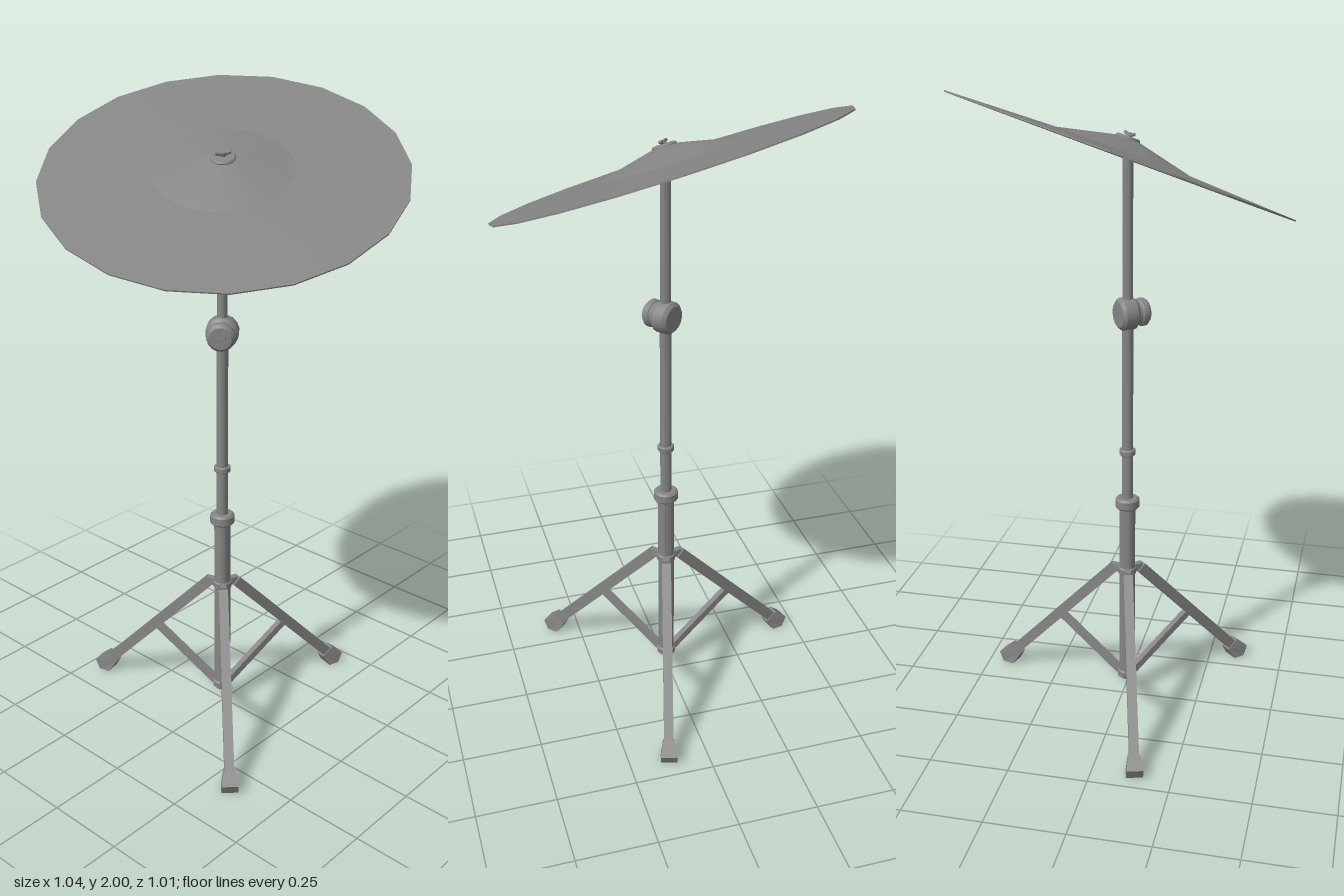
import * as THREE from 'three';
import { toCreasedNormals } from 'three/addons/utils/BufferGeometryUtils.js';

const metal = new THREE.MeshStandardMaterial({ color: 0x858585 });
const UP = new THREE.Vector3(0, 1, 0);
const V = (x, y, z = 0) => new THREE.Vector3(x, y, z);

function add(parent, name, geometry) {
  const mesh = new THREE.Mesh(geometry, metal);
  mesh.name = name;
  parent.add(mesh);
  return mesh;
}

// Turned part around y from [radius, height] points, bottom to top
function turned(parent, name, profile, sides = 16, phase = 0, crease = 0.7) {
  const points = profile.map(([r, y]) => new THREE.Vector2(r, y));
  return add(parent, name, toCreasedNormals(new THREE.LatheGeometry(points, sides, phase), crease));
}

const tube = (parent, name, r, y0, y1, sides = 16) =>
  turned(parent, name, [[0, y0], [r, y0], [r, y1], [0, y1]], sides);

const collar = (parent, name, r, y0, y1, b = 0.006) =>
  turned(parent, name, [[0, y0], [r - b, y0], [r, y0 + b], [r, y1 - b], [r - b, y1], [0, y1]]);

// Rectangular bar between two points
function bar(parent, name, a, b, width, depth) {
  const dir = b.clone().sub(a);
  const mesh = add(parent, name, new THREE.BoxGeometry(width, dir.length(), depth));
  mesh.position.copy(a).add(b).multiplyScalar(0.5);
  mesh.quaternion.setFromUnitVectors(UP, dir.normalize());
}

// Butterfly nut: hub with two slanted wings
function wingNut(parent, y, size) {
  const nut = new THREE.Group();
  nut.name = 'wingNut';
  tube(nut, 'nutHub', size * 0.5, 0, size * 0.8, 10);
  for (const s of [-1, 1]) {
    bar(nut, 'nutWing', V(s * size * 0.2, size * 0.3), V(s * size * 1.3, size * 0.7), size * 0.4, size * 0.5);
  }
  nut.position.y = y;
  nut.rotation.y = 0.9;
  parent.add(nut);
}

// Flat-bottomed rubber foot, narrowing towards the leg
function footGeometry() {
  const outline = [[0.412, 0.042], [0.436, 0.003], [0.474, 0.003], [0.489, 0.037], [0.45, 0.07]];
  const shape = new THREE.Shape(outline.map(([x, y]) => new THREE.Vector2(x, y)));
  const geometry = new THREE.ExtrudeGeometry(shape, { depth: 0.052, bevelEnabled: false });
  geometry.translate(0, 0, -0.026);
  const p = geometry.attributes.position;
  for (let i = 0; i < p.count; i++) {
    if (p.getY(i) > 0.04) p.setZ(i, p.getZ(i) * 0.7);
  }
  geometry.computeVertexNormals();
  return geometry;
}

// One folding leg lying in the local xy plane, pointing along +x
function makeLeg(angle) {
  const leg = new THREE.Group();
  leg.name = 'leg';
  bar(leg, 'legBar', V(0.048, 0.464), V(0.447, 0.038), 0.034, 0.03);
  bar(leg, 'hingeLug', V(0.015, 0.466), V(0.054, 0.466), 0.024, 0.02);
  bar(leg, 'brace', V(0.026, 0.085), V(0.25, 0.243), 0.023, 0.02);
  add(leg, 'foot', footGeometry());
  leg.rotation.y = -angle;
  return leg;
}

export function createModel() {
  const model = new THREE.Group();
  model.name = 'cymbalStand';

  const stand = new THREE.Group();
  stand.name = 'stand';
  stand.position.set(0.006, 0, 0.014);
  model.add(stand);

  // Telescopic pole and its collars
  tube(stand, 'lowerTube', 0.026, 0.075, 0.7);
  tube(stand, 'middleTube', 0.018, 0.69, 1.33);
  tube(stand, 'upperRod', 0.016, 1.33, 1.85);
  collar(stand, 'bottomCollar', 0.031, 0.068, 0.098);
  collar(stand, 'hingeCollar', 0.03, 0.452, 0.478, 0.004);
  collar(stand, 'heightClamp', 0.039, 0.686, 0.722);
  collar(stand, 'memoryCollar', 0.026, 0.868, 0.888, 0.003);

  // Tripod
  for (const degrees of [45, 165, 285]) stand.add(makeLeg(THREE.MathUtils.degToRad(degrees)));

  // Tilter joint, its axis facing the low side of the cymbal
  const tilter = new THREE.Group();
  tilter.name = 'tilter';
  collar(tilter, 'tilterBody', 0.05, -0.032, 0.026, 0.01);
  tube(tilter, 'tilterNeck', 0.038, 0.024, 0.036);
  collar(tilter, 'tilterKnob', 0.043, 0.03, 0.063, 0.009);
  wingNut(tilter, 0.06, 0.012);
  tilter.position.y = 1.328;
  tilter.quaternion.setFromUnitVectors(UP, V(0.6, 0, 0.8));
  stand.add(tilter);

  // Tilted cymbal: thin hollow shell with a conical bell
  const cymbal = new THREE.Group();
  cymbal.name = 'cymbalAssembly';
  turned(cymbal, 'cymbal', [
    [0.012, 0.049], [0.035, 0.046], [0.207, 0.009], [0.537, -0.003],
    [0.537, 0.001], [0.207, 0.014], [0.035, 0.053], [0.012, 0.056],
  ], 20, THREE.MathUtils.degToRad(7.4), 0.15);
  collar(cymbal, 'lowerWasher', 0.045, 0.028, 0.044, 0.004);
  collar(cymbal, 'upperWasher', 0.037, 0.048, 0.06, 0.004);
  wingNut(cymbal, 0.058, 0.017);
  cymbal.position.set(-0.003, 1.8, -0.003);
  cymbal.quaternion.setFromUnitVectors(UP, V(0.225, 0.928, 0.3).normalize());
  model.add(cymbal);

  return model;
}
